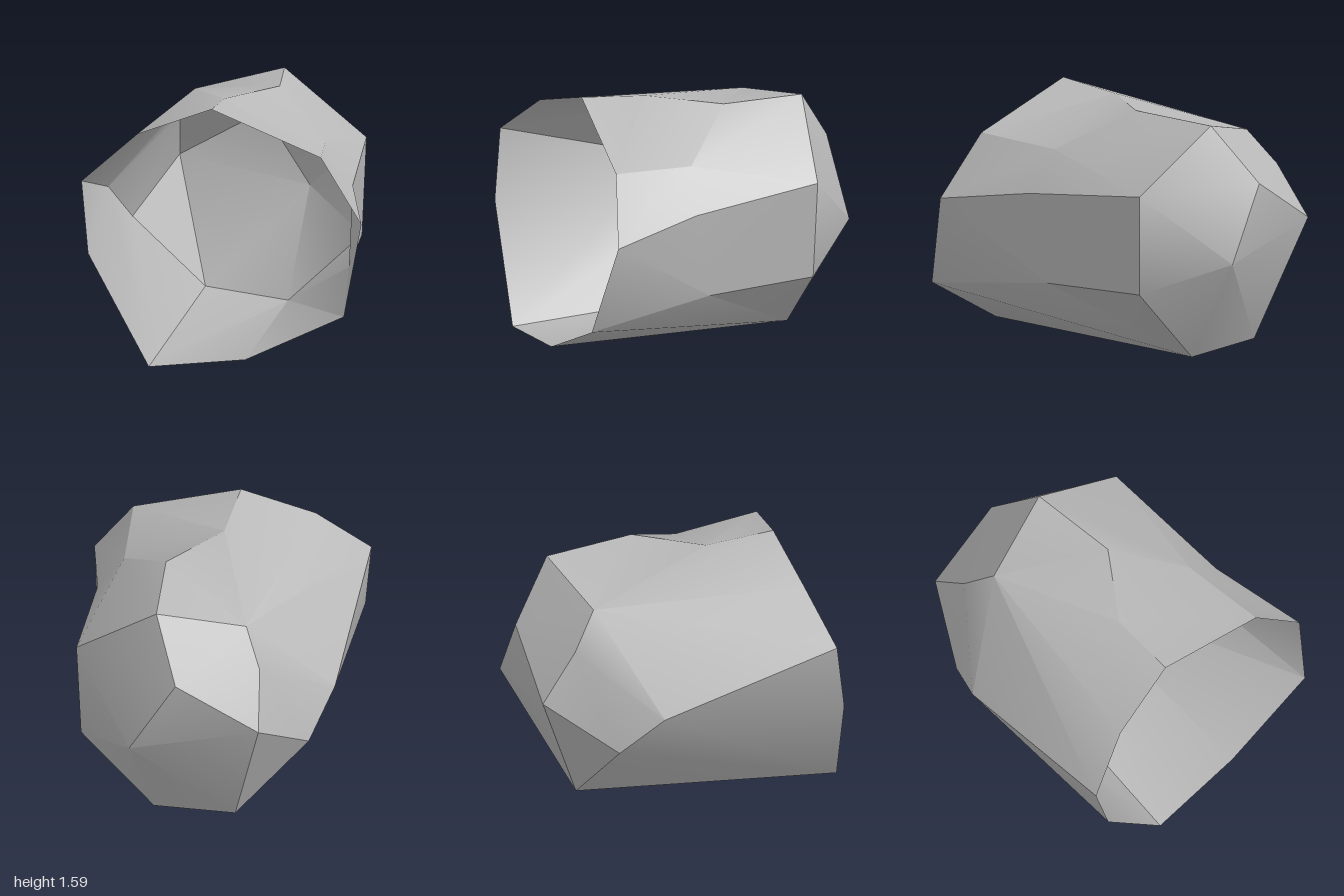
import * as THREE from 'three';
import { toCreasedNormals } from 'three/addons/utils/BufferGeometryUtils.js';

// Corner rings of the hollow, open-fronted shell
const v = (x, y, z) => new THREE.Vector3(x, y, z);

// front opening, clockwise from the upper right wall
const rim = [
  v(-0.88, 1.15, 0.85), v(-0.55, 1.43, 0.73), v(-0.09, 1.59, 0.66),
  v(0.61, 1.33, 0.75), v(0.88, 0.94, 0.86), v(0.79, 0.38, 1.0),
  v(0.17, 0.075, 0.99), v(-0.44, 0, 0.97), v(-0.83, 0.7, 0.91),
];
// corners part way along the walls
const mid = {
  side: v(-0.87, 0.8, -0.26), ridgeBack: v(0.22, 1.52, -0.17), ridgeFront: v(-0.07, 1.54, 0.23),
  shoulder: v(0.56, 1.28, 0.21), upper: v(0.74, 1.02, 0.26), lower: v(0.7, 0.46, 0.15),
};
// ring where the walls meet the back
const back = {
  top: v(0.17, 1.48, -0.73), upper: v(0.705, 1.09, -0.59), lower: v(0.68, 0.465, -0.57),
  floorL: v(0.21, 0.01, -0.61), floorR: v(-0.32, 0.06, -0.68), side: v(-0.755, 0.54, -0.52),
  dent: v(-0.485, 1.15, -0.73), topR: v(-0.37, 1.365, -0.58),
};
// rearmost corners
const cap = { top: v(0, 1.12, -0.98), right: v(-0.52, 0.83, -0.95), left: v(0.29, 0.65, -1) };

// Build a mesh of triangle fans, each triangle turned to face away from the centre
function fanMesh(name, fans, material) {
  const centre = v(0, 0.8, 0);
  const points = [];
  for (const [hub, ...edge] of fans) {
    for (let i = 0; i + 1 < edge.length; i++) {
      const tri = new THREE.Triangle(hub, edge[i], edge[i + 1]);
      const out = tri.getMidpoint(v(0, 0, 0)).sub(centre);
      const outward = tri.getNormal(v(0, 0, 0)).dot(out) > 0;
      points.push(hub, ...(outward ? [edge[i], edge[i + 1]] : [edge[i + 1], edge[i]]));
    }
  }
  const geometry = new THREE.BufferGeometry().setFromPoints(points);
  const mesh = new THREE.Mesh(toCreasedNormals(geometry, Math.PI / 6), material);
  mesh.name = name;
  return mesh;
}

export function createModel() {
  const stone = new THREE.MeshStandardMaterial({ color: 0xb8b8b8, side: THREE.DoubleSide });
  stone.name = 'pale grey';
  const model = new THREE.Group();
  model.name = 'hollowShell';

  const walls = [
    // roof and right wall
    [back.topR, back.top, mid.ridgeBack, mid.ridgeFront, rim[2], rim[1], rim[0], mid.side, back.dent],
    [mid.side, rim[0], rim[8]],
    [back.side, mid.side, back.dent, cap.right],
    // lower right slope and floor
    [rim[7], rim[8], mid.side, back.side, back.floorR, back.floorL, rim[6]],
    // lower left slope and left wall
    [back.floorL, back.lower, mid.lower, rim[5], rim[6]],
    [mid.lower, back.lower, back.upper, mid.upper, rim[4], rim[5]],
    // sunken left shoulder
    [mid.shoulder, rim[3], rim[4], mid.upper, back.upper, back.top, mid.ridgeBack, mid.ridgeFront, rim[3]],
    [rim[3], mid.ridgeFront, rim[2]],
  ];
  const rear = [
    [cap.top, cap.right, back.dent, back.topR, back.top],
    [cap.left, cap.top, cap.right, back.floorR, back.floorL, back.lower, back.upper],
    [cap.top, back.top, back.upper, cap.left],
    [cap.right, back.side, back.floorR],
  ];
  model.add(fanMesh('shell', [...walls, ...rear], stone));
  return model;
}
